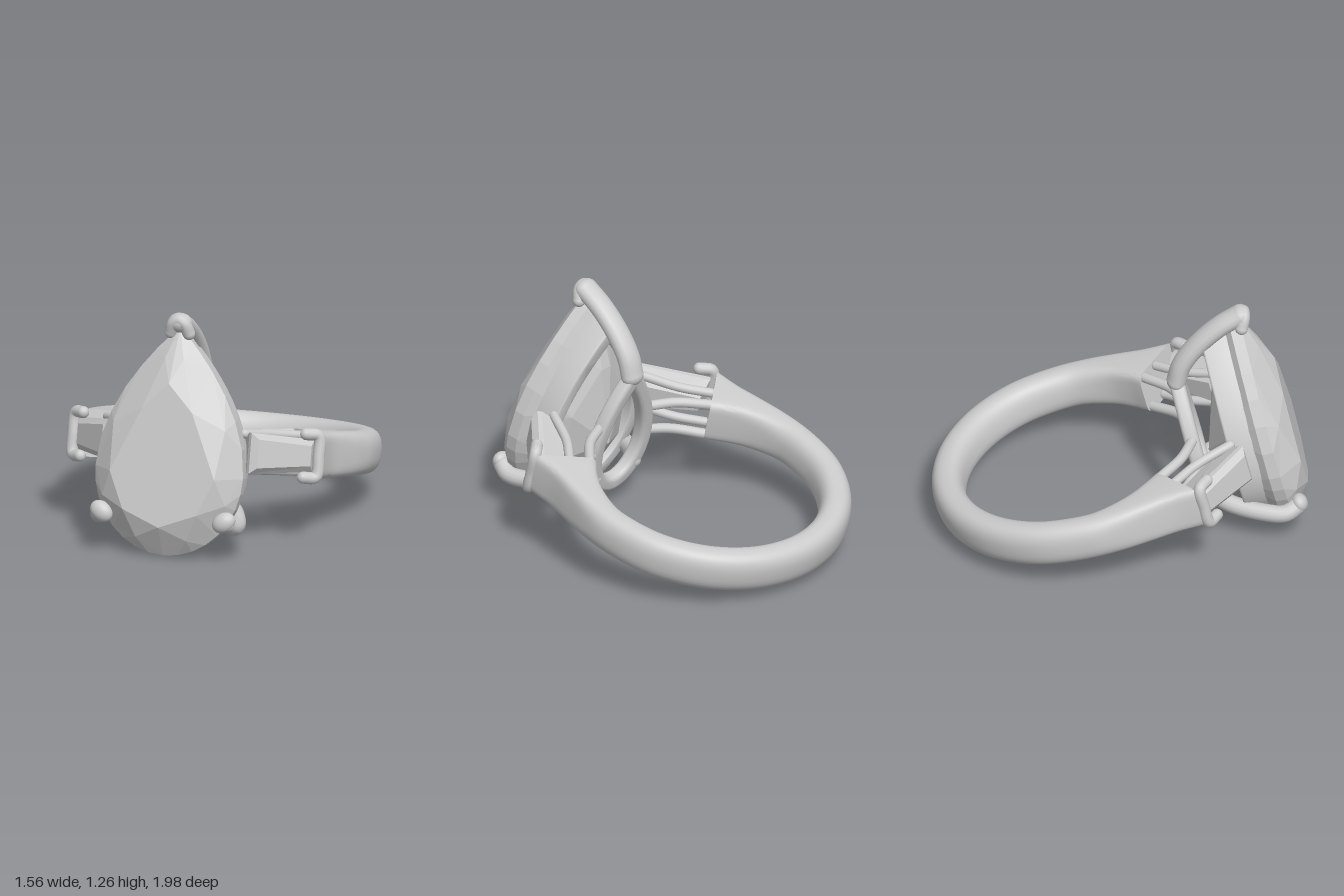
import * as THREE from 'three';
import { mergeGeometries, toCreasedNormals } from 'three/addons/utils/BufferGeometryUtils.js';

const grey = new THREE.MeshStandardMaterial({ color: 0xcccccc });
const faceted = new THREE.MeshStandardMaterial({ color: 0xcccccc, flatShading: true });
const V = (x, y, z) => new THREE.Vector3(x, y, z);

function mesh(name, geometry, material = grey) {
  const m = new THREE.Mesh(geometry, material);
  m.name = name;
  return m;
}

function triangles(points) {
  const g = new THREE.BufferGeometry().setFromPoints(points);
  g.computeVertexNormals();
  return g;
}

// Closed skin through equal-sized loops, with a fan at either end
function loft(loops) {
  const tris = [], n = loops[0].length;
  for (let k = 0; k < loops.length - 1; k++) {
    const a = loops[k], b = loops[k + 1];
    for (let i = 0; i < n; i++) {
      const j = (i + 1) % n;
      tris.push(a[i], a[j], b[j], a[i], b[j], b[i]);
    }
  }
  const first = loops[0], last = loops[loops.length - 1];
  for (let i = 1; i < n - 1; i++) {
    tris.push(first[0], first[i + 1], first[i], last[0], last[i], last[i + 1]);
  }
  return triangles(tris);
}

// Round wire with ball ends
function wire(name, points, radius) {
  const curve = new THREE.CatmullRomCurve3(points);
  const parts = [new THREE.TubeGeometry(curve, 32, radius, 14)];
  for (const p of [points[0], points[points.length - 1]]) {
    parts.push(new THREE.SphereGeometry(radius, 14, 10).translate(p.x, p.y, p.z));
  }
  return mesh(name, mergeGeometries(parts));
}

// Pear outline, counterclockwise from the round bottom, pointed at the top
function pear(n, w, bottom, top, z = 0, shift = 0) {
  const yc = bottom + (top - bottom) * 0.364;
  return Array.from({ length: n }, (_, i) => {
    const t = ((i + shift) / n) * Math.PI * 2, c = -Math.cos(t);
    if (c <= 0) return V(w * Math.sin(t), yc + (yc - bottom) * c, z);
    return V(Math.sign(Math.sin(t)) * w * (1 - Math.pow(c, 1.9)), yc + (top - yc) * c, z);
  });
}

function pearRing(name, outer, inner, z, depth, bevel) {
  const shape = new THREE.Shape(pear(64, ...outer).map(p => new THREE.Vector2(p.x, p.y)));
  shape.holes.push(new THREE.Path(pear(64, ...inner).map(p => new THREE.Vector2(p.x, p.y))));
  const g = new THREE.ExtrudeGeometry(shape, {
    depth: depth - 2 * bevel, bevelSize: bevel, bevelThickness: bevel, bevelSegments: 4,
  });
  g.translate(0, 0, z + bevel);
  g.deleteAttribute('uv');
  return mesh(name, toCreasedNormals(g, 0.7));
}

// Brilliant-cut pear: table, star and kite facets, girdle, pavilion
function pearGem() {
  const N = 8, K = 4, tris = [];
  const T = pear(N, 0.29, -0.42, 0.34, 1.15);
  const M = pear(N, 0.37, -0.51, 0.52, 1.09, 0.5);
  const G = pear(N * K, 0.41, -0.57, 0.64, 1.03);
  const L = pear(N * K, 0.405, -0.565, 0.635, 0.97);
  const P = pear(N, 0.24, -0.39, 0.32, 0.8, 0.5);
  const culet = V(0, -0.13, 0.68);
  for (let i = 0; i < N; i++) {
    const j = (i + 1) % N, h = (i + N - 1) % N, g = G[i * K];
    tris.push(T[i], M[i], T[j], T[i], M[h], g, T[i], g, M[i]);
    if (i > 0 && i < N - 1) tris.push(T[0], T[i], T[j]);
    tris.push(P[h], P[i], L[i * K], culet, P[j], P[i]);
    for (let k = i * K; k < i * K + K; k++) {
      const m = (k + 1) % (N * K);
      tris.push(M[i], G[k], G[m], P[i], L[m], L[k]);
      tris.push(L[k], L[m], G[m], L[k], G[m], G[k]);
    }
  }
  return mesh('centerStone', triangles(tris), faceted);
}

// Band swept from one shoulder round the back to the other
function band() {
  const half = [];
  for (let i = 0; i <= 4; i++) {
    const a = (i * Math.PI) / 8, s = Math.sin(a), c = -Math.cos(a);
    half.push([0.61 * s, 0.61 * c, 0.78 * s, 0.78 * c]);
  }
  half.push([0.597, 0.12, 0.768, 0.15], [0.555, 0.24, 0.735, 0.31],
    [0.495, 0.33, 0.705, 0.46], [0.43, 0.4, 0.7, 0.61]);
  const all = [...half.slice(1).reverse().map(([a, b, c, d]) => [-a, b, -c, d]), ...half];
  const inner = new THREE.CatmullRomCurve3(all.map(p => V(p[0], 0, p[1])));
  const outer = new THREE.CatmullRomCurve3(all.map(p => V(p[2], 0, p[3])));
  const loops = [], steps = 112, sides = 40;
  for (let k = 0; k <= steps; k++) {
    const u = k / steps, a = inner.getPoint(u), b = outer.getPoint(u);
    const end = THREE.MathUtils.smoothstep(Math.abs(2 * u - 1), 0.5, 1);
    const power = 2 / (2.5 + 3.5 * end), height = 0.117 + 0.008 * end;
    const soft = v => Math.sign(v) * Math.pow(Math.abs(v), power);
    loops.push(Array.from({ length: sides }, (_, i) => {
      const t = (i / sides) * Math.PI * 2;
      const p = a.clone().lerp(b, 0.5 + 0.5 * soft(Math.cos(t)));
      p.y = height * soft(Math.sin(t));
      return p;
    }));
  }
  return mesh('band', toCreasedNormals(loft(loops), 0.8));
}

// Tapered step-cut side stone, wider towards the centre stone
function baguette(s) {
  const loops = [[-0.09, 0.045], [0.03, 0], [0.055, 0], [0.085, 0.032]].map(([z, inset]) => {
    const x = 0.19 - inset, hNeg = 0.095 - 0.015 * s - inset, hPos = 0.095 + 0.015 * -s * -1 - inset;
    const lo = s > 0 ? 0.108 - inset : hNeg - 0.025, hi = s > 0 ? hPos - 0.025 : 0.108 - inset;
    return [V(-x, -lo, z), V(x, -hi, z), V(x, hi, z), V(-x, lo, z)];
  });
  const m = mesh('sideStone', loft(loops), faceted);
  m.position.set(s * 0.48, 0, 0.71);
  m.rotation.y = s * 0.82;
  return m;
}

function shoulder(s) {
  const g = new THREE.Group();
  g.name = s > 0 ? 'leftShoulder' : 'rightShoulder';
  const path = list => list.map(([x, y, z]) => V(s * x, y, z));
  g.add(baguette(s));
  g.add(wire('sideStoneProng', path([[0.62, 0.115, 0.67], [0.675, 0.108, 0.625], [0.682, 0, 0.62],
    [0.675, -0.108, 0.625], [0.62, -0.115, 0.67]]), 0.032));
  for (const y of [-0.095, 0.095]) {
    g.add(wire('galleryRail', path([[0.46, y, 0.43], [0.33, y * 0.9, 0.55], [0.19, y * 0.8, 0.62]]), 0.027));
    g.add(wire('seatRail', path([[0.54, y, 0.5], [0.43, y, 0.63], [0.33, y, 0.82]]), 0.025));
  }
  // Lower claw holding the centre stone
  g.add(wire('lowerProng', path([[0.15, -0.26, 0.62], [0.26, -0.31, 0.72], [0.345, -0.36, 0.88],
    [0.375, -0.385, 1.0], [0.355, -0.37, 1.07]]), 0.047));
  const tip = mesh('lowerProngTip', new THREE.SphereGeometry(0.058, 20, 14));
  tip.scale.set(1.15, 0.9, 0.75);
  tip.position.set(s * 0.34, -0.365, 1.085);
  tip.rotation.z = s * 0.6;
  g.add(tip);
  return g;
}

// Claw over the point of the pear, with a V-shaped cap
function tipProng() {
  const g = new THREE.Group();
  g.name = 'tipProng';
  const stem = wire('tipProngStem', [V(0, 0.35, 0.62), V(0, 0.44, 0.67), V(0, 0.54, 0.78),
    V(0, 0.62, 0.92), V(0, 0.66, 1.04)], 0.052);
  stem.scale.x = 1.3;
  g.add(stem);
  g.add(wire('tipProngCap', [V(-0.05, 0.605, 1.03), V(-0.03, 0.655, 1.055), V(0, 0.672, 1.06),
    V(0.03, 0.655, 1.055), V(0.05, 0.605, 1.03)], 0.034));
  return g;
}

export function createModel() {
  const model = new THREE.Group();
  model.name = 'ring';
  // The whole ring leans back, so its parts are built in a tilted frame
  const tilted = new THREE.Group();
  tilted.name = 'tiltedRing';
  tilted.position.set(0, 0.32, -0.215);
  tilted.rotation.x = -0.2355;
  tilted.add(
    band(),
    pearGem(),
    pearRing('upperGallery', [0.35, -0.5, 0.56], [0.3, -0.45, 0.47], 0.8, 0.16, 0.012),
    pearRing('lowerGallery', [0.2, -0.355, 0.37], [0.165, -0.32, 0.31], 0.58, 0.08, 0.024),
    tipProng(),
    shoulder(1),
    shoulder(-1),
  );
  model.add(tilted);
  return model;
}
